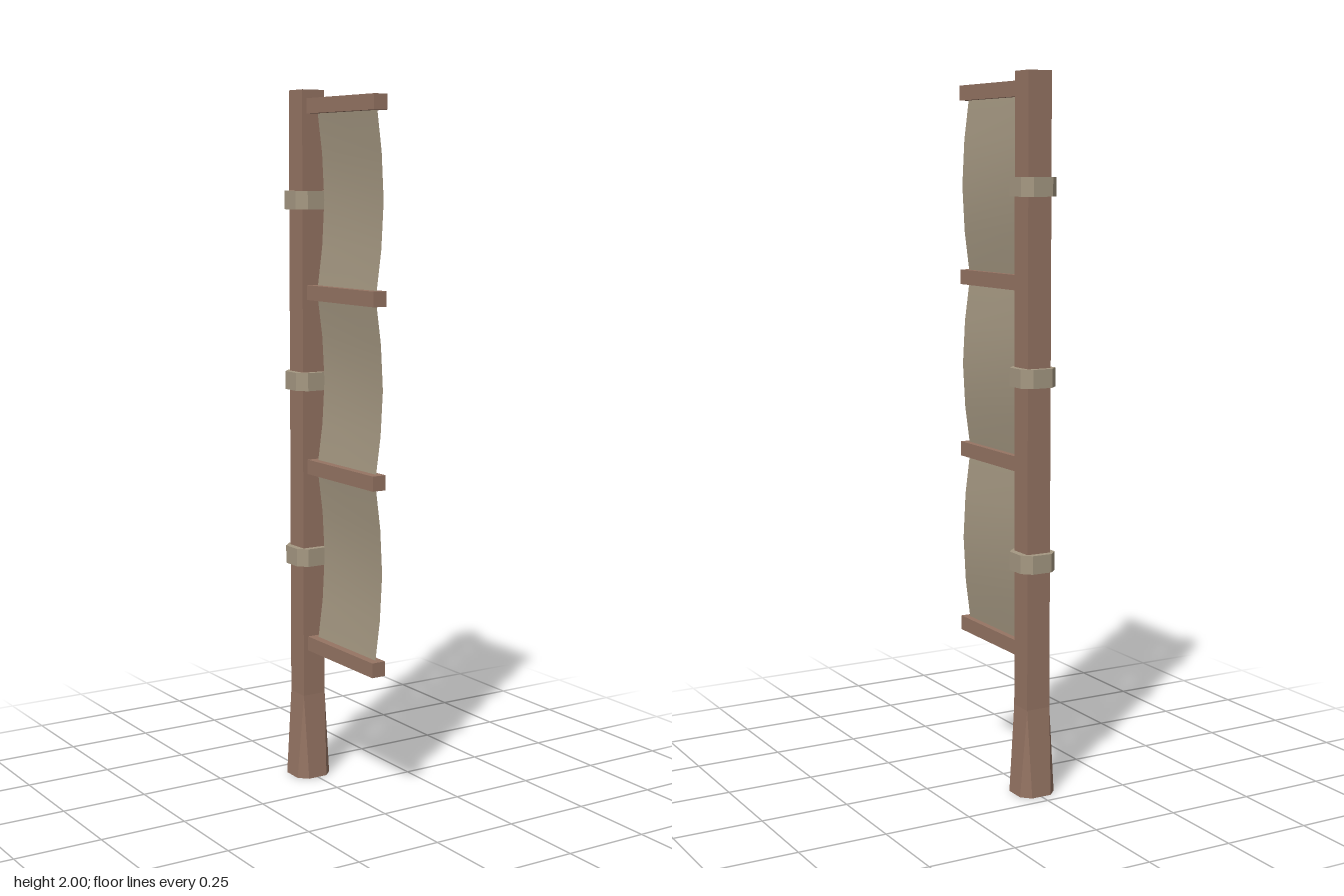
import * as THREE from 'three';

const POST_Z = -0.161, HALF = 0.036, FLARE = 0.055, CORNER = 0.03, FLARE_TOP = 0.25;

const wood = new THREE.MeshStandardMaterial({ color: 0x957463, flatShading: true });
const strap = new THREE.MeshStandardMaterial({ color: 0xa59882, flatShading: true });
const canvas = new THREE.MeshStandardMaterial({ color: 0xa59882, side: THREE.DoubleSide });

function add(parent, name, geometry, material, x, y, z) {
  const mesh = new THREE.Mesh(geometry, material);
  mesh.name = name;
  mesh.position.set(x, y, z);
  parent.add(mesh);
  return mesh;
}

// Foot: octagon at the ground that closes to the square post
function footGeometry() {
  const pos = [];
  const up = new THREE.Vector3(0, 1, 0);
  for (let i = 0; i < 4; i++) {
    const p = (x, y, z) => new THREE.Vector3(x, y, z).applyAxisAngle(up, i * Math.PI / 2);
    const a = p(-CORNER, 0, FLARE), b = p(CORNER, 0, FLARE), c = p(FLARE, 0, CORNER);
    const d = p(-HALF, FLARE_TOP, HALF), e = p(HALF, FLARE_TOP, HALF), o = p(0, 0, 0);
    for (const v of [a, b, e, a, e, d, b, c, e, o, b, a, o, c, b]) pos.push(v.x, v.y, v.z);
  }
  const g = new THREE.BufferGeometry();
  g.setAttribute('position', new THREE.Float32BufferAttribute(pos, 3));
  g.computeVertexNormals();
  return g;
}

// Octagonal strap around the post
function strapGeometry(height) {
  const s = new THREE.Shape([
    [-CORNER, FLARE], [-FLARE, CORNER], [-FLARE, -CORNER], [-CORNER, -FLARE],
    [CORNER, -FLARE], [FLARE, -CORNER], [FLARE, CORNER], [CORNER, FLARE],
  ].map(([x, y]) => new THREE.Vector2(x, y)));
  const g = new THREE.ExtrudeGeometry(s, { depth: height, bevelEnabled: false });
  return g.translate(0, 0, -height / 2).rotateX(-Math.PI / 2);
}

// Cloth panel between two bars, billowing towards +x
function clothGeometry(height) {
  const g = new THREE.PlaneGeometry(0.3, height, 1, 4).rotateY(Math.PI / 2);
  const p = g.attributes.position;
  for (let i = 0; i < p.count; i++) {
    p.setX(i, 0.024 * Math.cos(Math.PI * p.getY(i) / height));
  }
  g.computeVertexNormals();
  return g;
}

export function createModel() {
  const model = new THREE.Group();
  model.name = 'bannerPost';

  // Post
  const postHeight = 2 - FLARE_TOP;
  add(model, 'post', new THREE.BoxGeometry(HALF * 2, postHeight, HALF * 2), wood,
    0, FLARE_TOP + postHeight / 2, POST_Z);
  add(model, 'postFoot', footGeometry(), wood, 0, 0, POST_Z);

  // Straps
  for (const y of [0.667, 1.18, 1.694]) {
    add(model, 'strap', strapGeometry(0.052), strap, 0, y, POST_Z);
  }

  // Crossbars and the cloth hung between them
  const bars = [0.407, 0.932, 1.434, 1.955];
  bars.forEach((y, i) => {
    add(model, 'crossbar', new THREE.BoxGeometry(0.042, 0.042, 0.344), wood, 0, y, 0.043);
    if (i > 0) {
      const h = y - bars[i - 1];
      add(model, 'clothPanel', clothGeometry(h), canvas, 0, y - h / 2, 0.045);
    }
  });
  return model;
}
